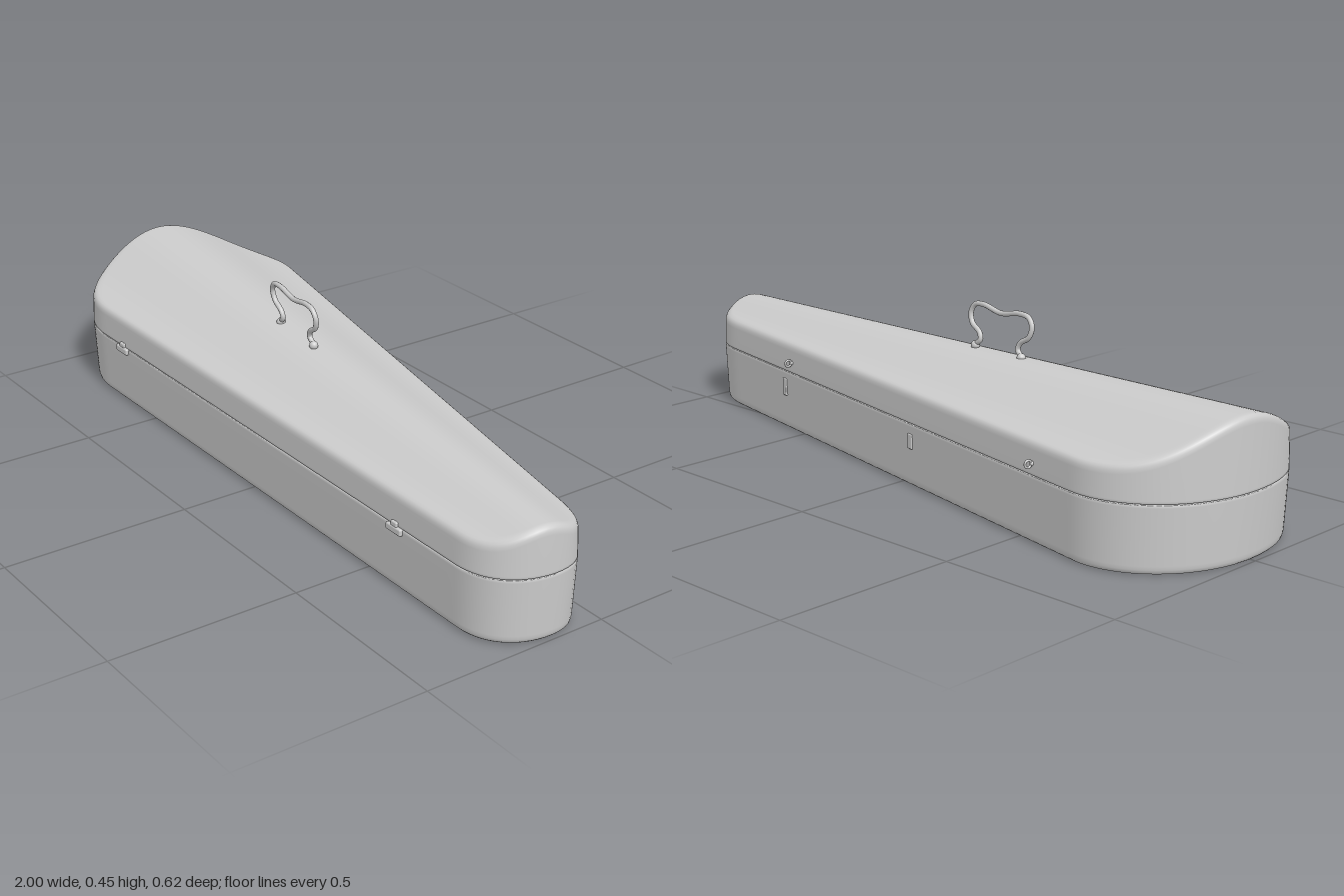
import * as THREE from 'three';
import { RoundedBoxGeometry } from 'three/addons/geometries/RoundedBoxGeometry.js';

const SEAM = 0.172, FRONT = 0.303, SLOPE = 0.2;
const backZ = x => -0.307 + SLOPE * (x + 0.7);
const ridgeZ = x => (FRONT + backZ(x)) / 2;

// Arched lid: a bell across the case, sinking towards the narrow end
function lidHeight(x, z) {
  const half = (FRONT - backZ(x)) / 2;
  const t = Math.min(1, Math.abs(z - ridgeZ(x)) / half);
  const rise = 0.1 - 0.031 * (x + 1);
  return 0.256 + rise * (1 + Math.cos(Math.PI * t)) / 2;
}

// Plan outline, y of the shape is z of the model
function makeOutline() {
  const s = new THREE.Shape();
  s.moveTo(-0.74, FRONT);
  s.lineTo(0.84, FRONT);
  s.bezierCurveTo(0.95, FRONT, 1, 0.22, 1, 0.14);
  s.bezierCurveTo(1, 0.06, 0.95, 0.022, 0.85, 0.003);
  s.lineTo(-0.7, backZ(-0.7));
  s.bezierCurveTo(-0.85, -0.337, -1, -0.2, -1, 0);
  s.bezierCurveTo(-1, 0.18, -0.9, FRONT, -0.74, FRONT);
  const pts = s.getSpacedPoints(260).slice(0, -1);
  return pts.map((p, i) => {
    const a = pts[(i + pts.length - 1) % pts.length], b = pts[(i + 1) % pts.length];
    const d = b.clone().sub(a).normalize();
    return { x: p.x, z: p.y, nx: -d.y, nz: d.x }; // inward normal
  });
}

// Skin a stack of rings; each ring is inset from the outline, then drawn
// towards the centre line by k, with y given as a number or a function of (x, z)
function loft(outline, rings) {
  const pos = [], idx = [], n = outline.length;
  for (const { inset, y, k = 0 } of rings) {
    for (const o of outline) {
      let sign = inset;
      // inward points towards the middle of the plan
      if (o.nx * (0 - o.x) + o.nz * (ridgeZ(o.x) - o.z) < 0) sign = -inset;
      let x = o.x + o.nx * sign, z = o.z + o.nz * sign;
      const sx = THREE.MathUtils.clamp(x, -0.72, 0.86);
      x += (sx - x) * k;
      z += (ridgeZ(sx) - z) * k;
      pos.push(x, typeof y === 'function' ? y(x, z) : y, z);
    }
  }
  for (let r = 0; r < rings.length - 1; r++) {
    for (let i = 0; i < n; i++) {
      const j = (i + 1) % n, a = r * n + i, b = r * n + j;
      idx.push(a, b, b + n, a, b + n, a + n);
    }
  }
  const g = new THREE.BufferGeometry();
  g.setAttribute('position', new THREE.Float32BufferAttribute(pos, 3));
  g.setIndex(idx);
  g.computeVertexNormals();
  return g;
}

export function createModel() {
  const model = new THREE.Group();
  model.name = 'instrumentCase';
  const mat = new THREE.MeshStandardMaterial({ color: 0xcccccc });
  const add = (name, geo, x = 0, y = 0, z = 0, parent = model) => {
    const m = new THREE.Mesh(geo, mat);
    m.name = name;
    m.position.set(x, y, z);
    parent.add(m);
    return m;
  };
  const outline = makeOutline();

  // Lower shell with a softly rounded bottom edge
  add('lowerShell', loft(outline, [
    { inset: 0.03, y: 0.003, k: 1 }, { inset: 0.03, y: 0.003 }, { inset: 0.02, y: 0.003 },
    { inset: 0.013, y: 0.005 }, { inset: 0.009, y: 0.009 }, { inset: 0.007, y: 0.016 },
    { inset: 0.006, y: 0.025 }, { inset: 0, y: SEAM - 0.008 }, { inset: 0, y: SEAM - 0.002 },
    { inset: 0.002, y: SEAM - 0.001 }, { inset: 0.012, y: SEAM },
  ]));

  // Lid: short wall, rounded rim, then the arched top gathered to the ridge
  const drop = d => (x, z) => lidHeight(x, z) - d;
  const lidRings = [
    { inset: 0.012, y: SEAM }, { inset: 0.002, y: SEAM + 0.001 }, { inset: 0, y: SEAM + 0.002 },
    { inset: 0, y: SEAM + 0.008 }, { inset: 0.002, y: drop(0.022) }, { inset: 0.003, y: drop(0.013) },
    { inset: 0.006, y: drop(0.006) }, { inset: 0.011, y: drop(0.002) }, { inset: 0.018, y: drop(0) },
  ];
  for (let i = 1; i <= 24; i++) lidRings.push({ inset: 0.018, y: drop(0), k: i / 24 });
  add('lid', loft(outline, lidRings));

  // Carrying handle, bent from one rod
  const handleZ = (x, y) => 0.056 + (x + 0.22) * 0.1 + (y - 0.34) * 0.1;
  const rod = [
    [-0.218, 0.335], [-0.203, 0.35], [-0.21, 0.368], [-0.24, 0.388], [-0.249, 0.415], [-0.235, 0.437],
    [-0.2, 0.442], [-0.13, 0.431], [-0.06, 0.442], [-0.028, 0.437], [-0.014, 0.415],
    [-0.022, 0.388], [-0.052, 0.368], [-0.058, 0.35], [-0.04, 0.335],
  ].map(([x, y]) => new THREE.Vector3(x, y, handleZ(x, y)));
  add('handle', new THREE.TubeGeometry(new THREE.CatmullRomCurve3(rod), 90, 0.007, 10));
  for (const p of [rod[0], rod[rod.length - 1]]) {
    add('handleMount', new THREE.SphereGeometry(0.012, 16, 12), p.x, p.y - 0.003, p.z);
  }

  // Front latches straddling the seam
  for (const x of [-0.64, 0.62]) {
    add('latchPlate', new RoundedBoxGeometry(0.056, 0.018, 0.012, 2, 0.004), x, SEAM - 0.007, FRONT + 0.003);
    add('latchCatch', new RoundedBoxGeometry(0.022, 0.014, 0.01, 2, 0.003), x, SEAM + 0.006, FRONT + 0.002);
  }

  // Fittings on the slanted back wall, local +z pointing outwards
  const backFitting = (name, x, y) => {
    const g = new THREE.Group();
    g.name = name;
    g.position.set(x, y, backZ(x));
    g.rotation.y = Math.atan2(SLOPE, -1);
    model.add(g);
    return g;
  };
  for (const x of [-0.56, 0.54]) {
    const g = backFitting('strapRing', x, 0.202);
    const ring = add('ring', new THREE.TorusGeometry(0.009, 0.003, 8, 20), 0, 0, 0.011, g);
    ring.rotation.y = Math.PI / 2;
    add('ringMount', new THREE.SphereGeometry(0.006, 12, 8), 0, 0, 0, g);
  }
  for (const [x, h] of [[0.58, 0.05], [-0.05, 0.04]]) {
    const g = backFitting('hingeTab', x, 0.125);
    add('tab', new RoundedBoxGeometry(0.02, h, 0.008, 2, 0.003), 0, 0, -0.002, g);
  }
  return model;
}
